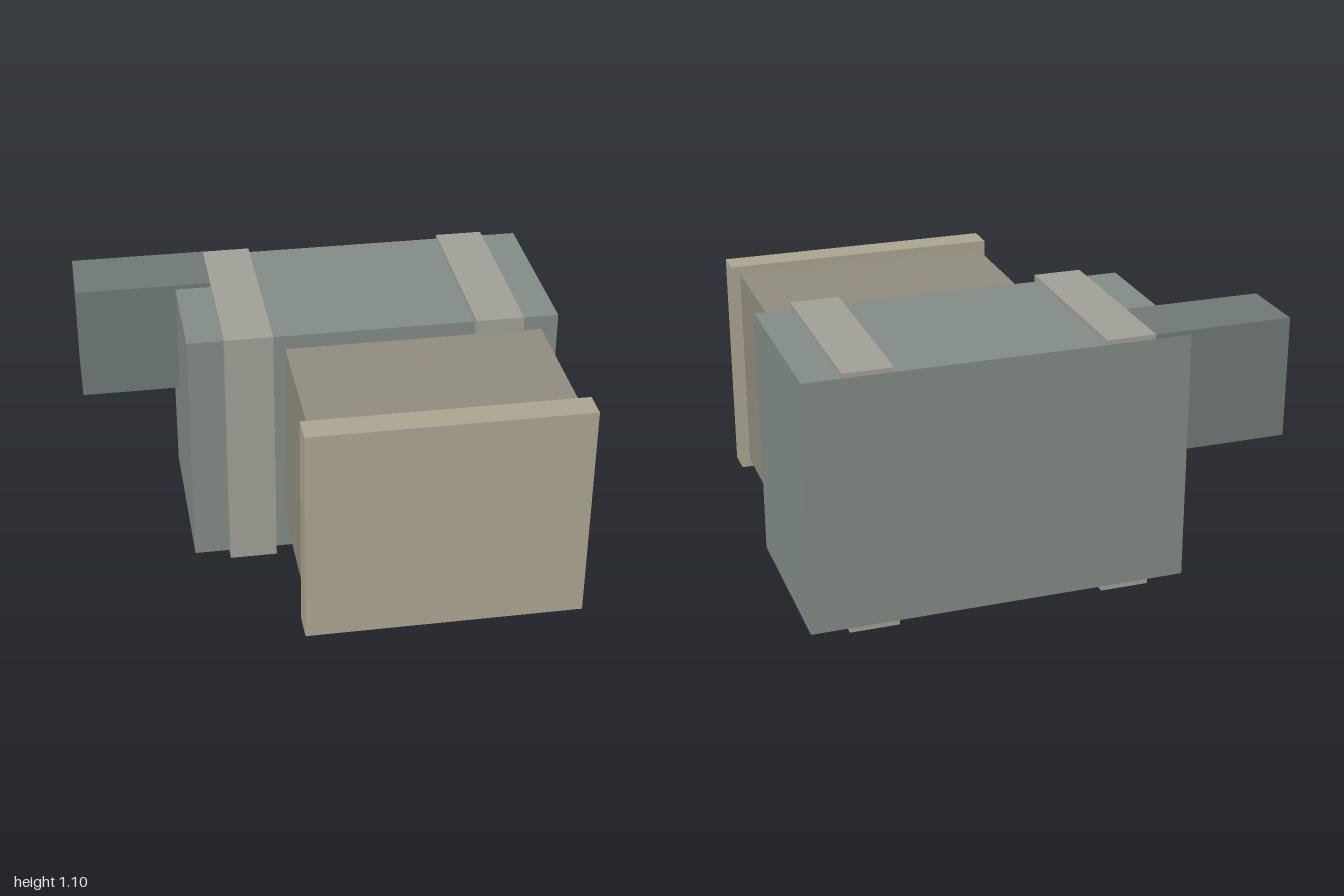
import * as THREE from 'three';

// Box given by its extents along each axis
function block(name, color, [x0, x1], [y0, y1], [z0, z1]) {
  const mesh = new THREE.Mesh(
    new THREE.BoxGeometry(x1 - x0, y1 - y0, z1 - z0),
    new THREE.MeshStandardMaterial({ color })
  );
  mesh.position.set((x0 + x1) / 2, (y0 + y1) / 2, (z0 + z1) / 2);
  mesh.name = name;
  return mesh;
}

export function createModel() {
  const model = new THREE.Group();
  model.name = 'blockAssembly';

  // Main housing and the arm projecting from its right rear
  model.add(
    block('housing', 0x828b86, [-0.572, 1], [0.02, 1.076], [-0.775, 0.012]),
    block('sideArm', 0x6f7875, [-1, -0.42], [0.585, 1.095], [-0.775, -0.47])
  );

  // Two bands wrapped around the housing, just shy of its back face
  for (const [name, x] of [['rightBand', -0.318], ['leftBand', 0.742]]) {
    model.add(block(name, 0xa09f96, [x - 0.102, x + 0.102], [0, 1.095], [-0.774, 0.045]));
  }

  // Front block with its wider face panel
  model.add(
    block('frontBlock', 0x8f8c7e, [-0.165, 0.925], [0.14, 1.025], [0.03, 0.656]),
    block('facePanel', 0xaaa48f, [-0.198, 0.962], [0.105, 1.06], [0.656, 0.775])
  );

  // Small plate and light strip hanging under the front block
  model.add(
    block('underPlate', 0x566a65, [0.197, 0.567], [0.03, 0.073], [0.305, 0.51]),
    block('lightStrip', 0x8accc0, [0.282, 0.484], [0.013, 0.03], [0.408, 0.443])
  );

  return model;
}
